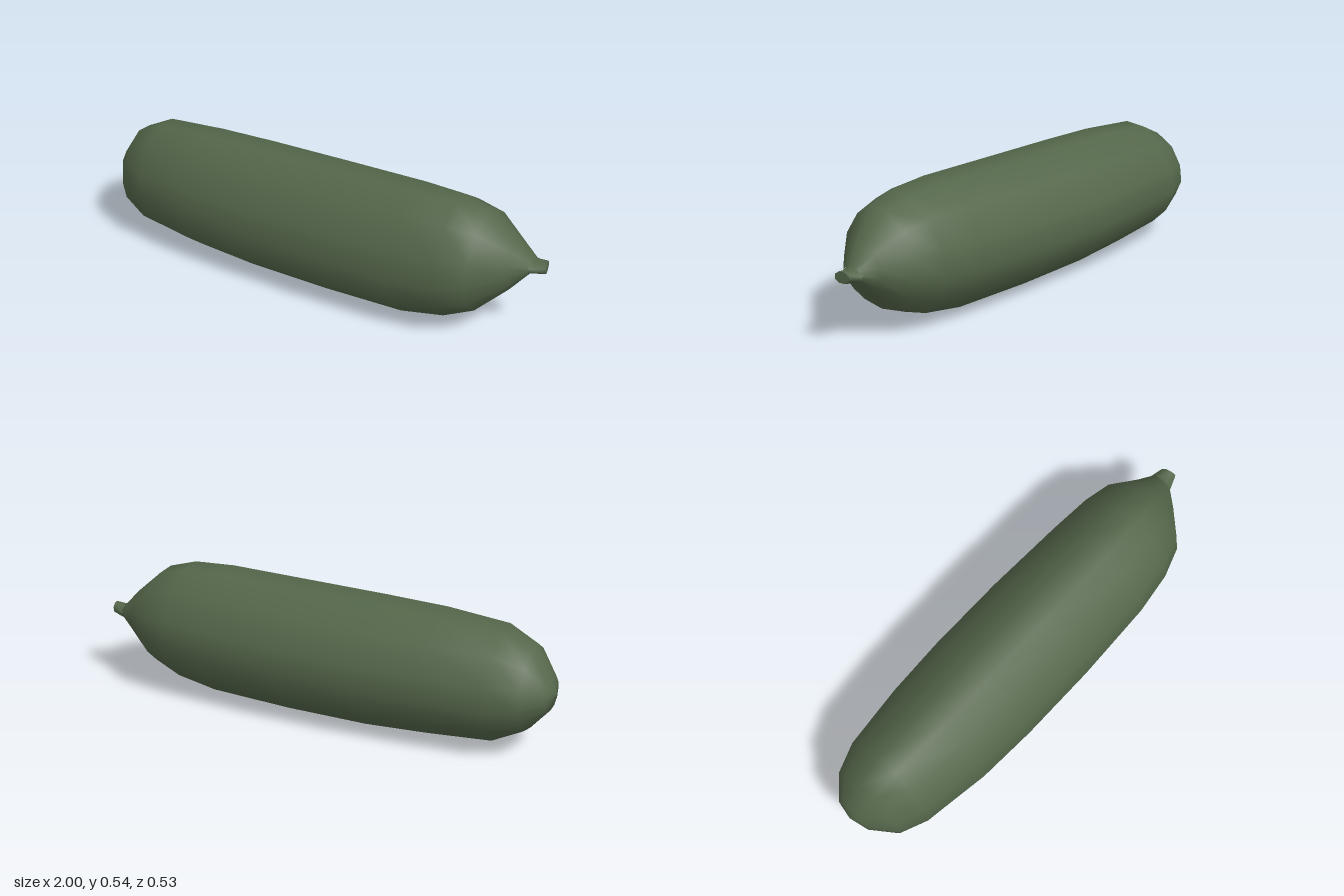
import * as THREE from 'three';

// Lopsided cross-section as [z, y] in a unit box, clockwise seen from +x
const SECTION = [
  [0.23, 1], [-0.19, 0.97], [-0.66, 0.69], [-0.94, 0.24], [-1, -0.19], [-0.83, -0.59], [-0.51, -0.88],
  [0, -1], [0.49, -0.94], [0.9, -0.61], [1, -0.18], [0.93, 0.3], [0.61, 0.76],
];
const OCTAGON = Array.from({ length: 8 }, (_, j) => {
  const a = (j + 0.5) * Math.PI / 4;
  return [-1.08 * Math.sin(a), 1.08 * Math.cos(a)];
});

// Skins rings given as [x, bottom, top, zMin, zMax, tilt]
function loft(section, rings) {
  const n = section.length, pos = [], index = [];
  for (const [x, y0, y1, z0, z1, tilt = 0] of rings) {
    for (const [sz, sy] of section) {
      pos.push(x + tilt * sz, (y0 + y1) / 2 + sy * (y1 - y0) / 2, (z0 + z1) / 2 + sz * (z1 - z0) / 2);
    }
  }
  for (let i = 0; i < rings.length - 1; i++) {
    for (let j = 0; j < n; j++) {
      const k = (j + 1) % n;
      const a = i * n + j, b = i * n + k, c = a + n, d = b + n;
      index.push(a, c, b, b, c, d);
    }
  }
  const g = new THREE.BufferGeometry();
  g.setAttribute('position', new THREE.Float32BufferAttribute(pos, 3));
  g.setIndex(index);
  g.computeVertexNormals();
  return g;
}

export function createModel() {
  const model = new THREE.Group();
  model.name = 'vegetable';
  const skin = new THREE.MeshStandardMaterial({ color: 0x54664a });
  skin.name = 'dark green skin';
  const add = (name, geometry) => {
    const mesh = new THREE.Mesh(geometry, skin);
    mesh.name = name;
    model.add(mesh);
  };

  // Long body, blunt at -x and tapering to the stem at +x
  add('body', loft(SECTION, [
    [-1, 0.265, 0.265, -0.02, -0.02],
    [-0.98, 0.195, 0.335, -0.1, 0.065],
    [-0.9, 0.1, 0.44, -0.18, 0.165],
    [-0.78, 0.037, 0.5, -0.225, 0.21],
    [-0.51, 0.017, 0.52, -0.255, 0.25],
    [-0.25, 0.003, 0.527, -0.268, 0.262],
    [0.1, 0.002, 0.533, -0.268, 0.264],
    [0.46, 0.01, 0.54, -0.252, 0.253],
    [0.64, 0.042, 0.533, -0.237, 0.23],
    [0.76, 0.095, 0.5, -0.21, 0.19],
    [0.87, 0.197, 0.4, -0.135, 0.075],
    [0.935, 0.272, 0.328, -0.1, 0],
  ]));

  // Short stem with a slanted cut end
  const cut = [0.991, 0.281, 0.326, -0.087, -0.026, 0.007];
  add('stem', loft(OCTAGON, [
    [0.9, 0.255, 0.335, -0.105, 0.01],
    [0.94, 0.273, 0.317, -0.1, -0.004],
    cut,
  ]));
  add('stemCut', loft(OCTAGON, [cut, [0.991, 0.3035, 0.3035, -0.0565, -0.0565]]));
  return model;
}
